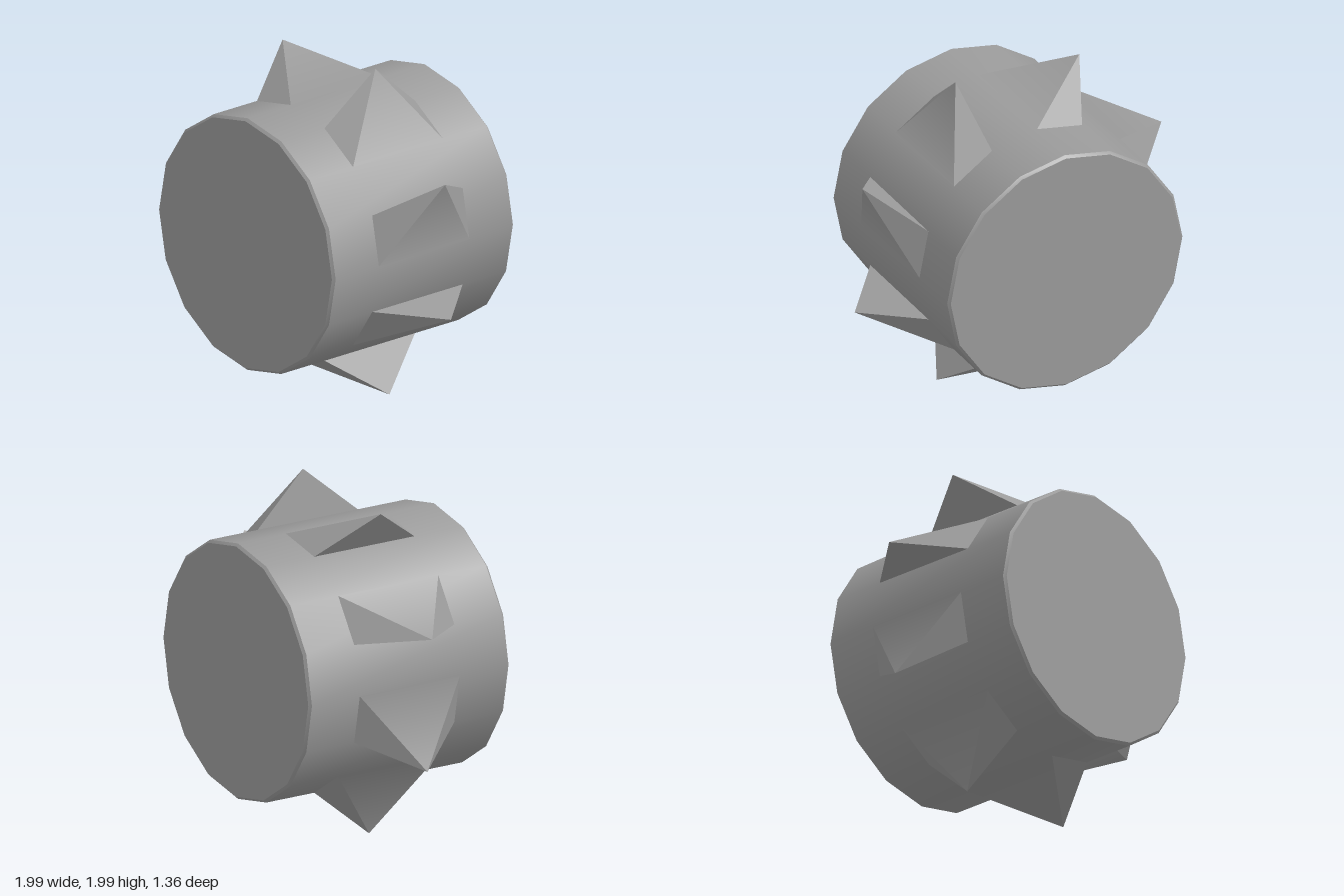
import * as THREE from 'three';
import { toCreasedNormals } from 'three/addons/utils/BufferGeometryUtils.js';

const SIDES = 16, SPIKES = 8;
const STEP = (Math.PI * 2) / SIDES;
const RADIUS = 0.763, TIP_RADIUS = 1.052, HALF_SPIKE = 0.34;

// Four-sided spike: its base covers one drum facet, its tip leans past the upper edge
function spikeGeometry() {
  const at = (r, a, z) => [r * Math.cos(a), r * Math.sin(a), z];
  const base = [
    at(RADIUS, STEP, HALF_SPIKE), at(RADIUS, 0, HALF_SPIKE),
    at(RADIUS, 0, -HALF_SPIKE), at(RADIUS, STEP, -HALF_SPIKE),
  ];
  const tip = at(TIP_RADIUS, STEP + THREE.MathUtils.degToRad(3.6), 0);
  const pos = [];
  for (let i = 0; i < 4; i++) pos.push(...base[i], ...base[(i + 1) % 4], ...tip);
  const g = new THREE.BufferGeometry();
  g.setAttribute('position', new THREE.Float32BufferAttribute(pos, 3));
  g.computeVertexNormals();
  // The long sloping face blends smoothly into the drum along its base edge
  for (const corner of [3, 4]) g.attributes.normal.setXYZ(corner, 1, 0, 0);
  return g;
}

export function createModel() {
  const model = new THREE.Group();
  model.name = 'spikedDrum';
  const material = new THREE.MeshStandardMaterial({ color: 0x9b9b9b });

  // Drum with a narrow chamfer at both ends, axis along z
  const profile = [[0, -0.68], [0.748, -0.68], [RADIUS, -0.665], [RADIUS, 0.665], [0.748, 0.68], [0, 0.68]]
    .map(([r, y]) => new THREE.Vector2(r, y));
  const drumGeometry = toCreasedNormals(new THREE.LatheGeometry(profile, SIDES), 0.5);
  drumGeometry.rotateX(Math.PI / 2);
  const drum = new THREE.Mesh(drumGeometry, material);
  drum.name = 'drum';
  drum.position.y = 1.004;
  model.add(drum);

  // Ring of raked spikes on every other facet
  const spike = spikeGeometry();
  for (let i = 0; i < SPIKES; i++) {
    const mesh = new THREE.Mesh(spike, material);
    mesh.name = `spike${i + 1}`;
    mesh.position.y = 1.004;
    mesh.rotation.z = i * STEP * 2;
    model.add(mesh);
  }
  return model;
}
